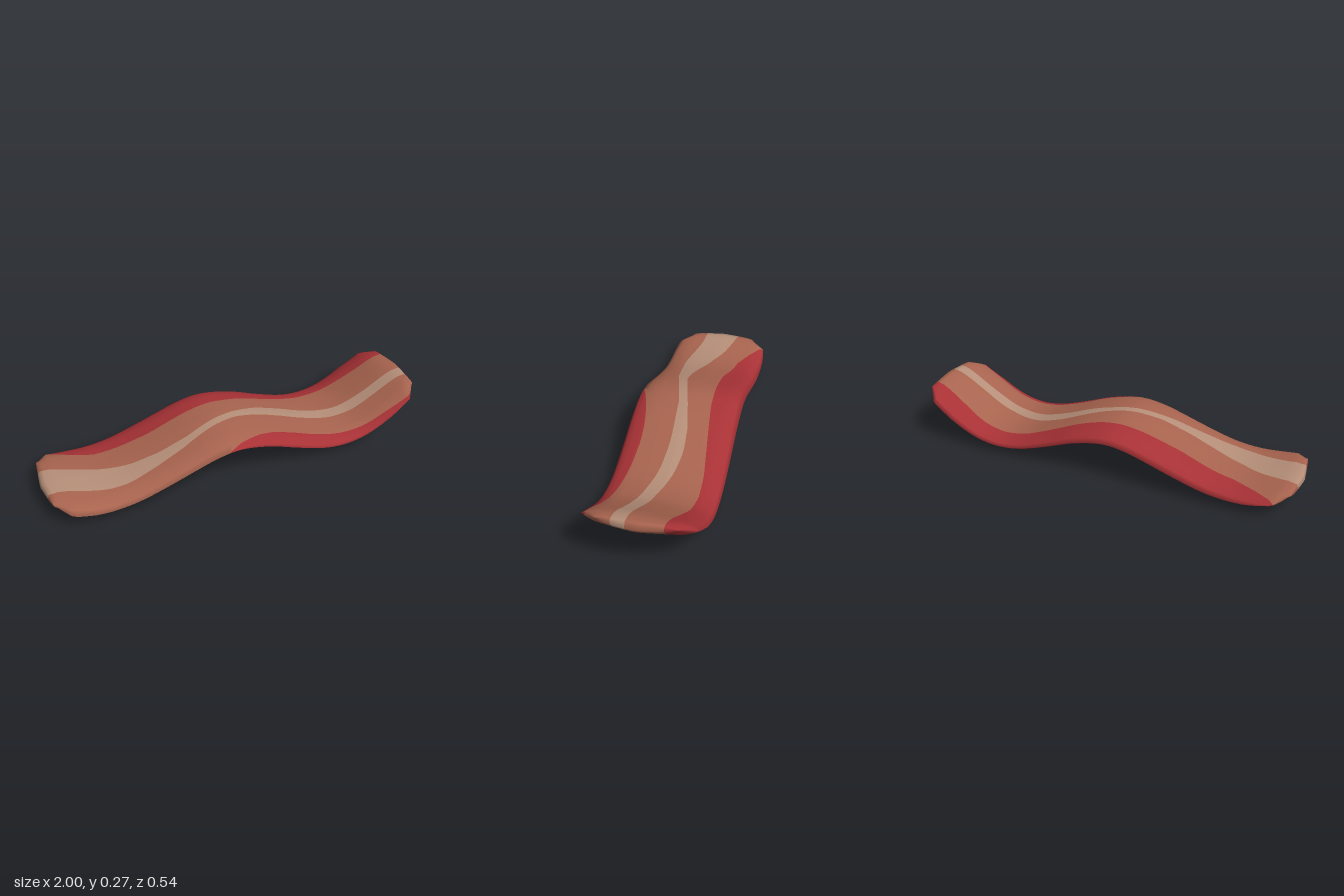
import * as THREE from 'three';
import { mergeVertices } from 'three/addons/utils/BufferGeometryUtils.js';

const colour = (name, hex) => {
  const m = new THREE.MeshStandardMaterial({ color: hex });
  m.name = name;
  return m;
};

// Linear interpolation in a list of [x, value] pairs
function lookup(table, x) {
  if (x <= table[0][0]) return table[0][1];
  for (let i = 1; i < table.length; i++) {
    const [x0, v0] = table[i - 1], [x1, v1] = table[i];
    if (x <= x1) return v0 + ((v1 - v0) * (x - x0)) / (x1 - x0);
  }
  return table[table.length - 1][1];
}

// Wavy centre line of the strip (x, y)
const centreLine = new THREE.SplineCurve([
  [-0.997, 0.1], [-0.9, 0.072], [-0.75, 0.052], [-0.6, 0.064], [-0.45, 0.105],
  [-0.3, 0.155], [-0.2, 0.186], [-0.1, 0.203], [0, 0.195], [0.12, 0.164],
  [0.25, 0.115], [0.4, 0.066], [0.52, 0.051], [0.63, 0.065], [0.72, 0.1],
  [0.81, 0.151], [0.9, 0.207], [0.993, 0.259],
].map(([x, y]) => new THREE.Vector2(x, y)));

// Half width and half thickness by distance from the middle
const halfWidth = [[0.8, 0.27], [0.92, 0.257], [0.955, 0.225], [0.993, 0.18]];
const halfThickness = [[0.75, 0.045], [0.9, 0.041], [0.96, 0.033], [0.993, 0.015]];
const section = [[0, 1], [0.4, 0.9], [0.72, 0.72], [0.9, 0.38], [1, 0]];

// Lengthwise borders between the colour bands (x, z), back to front
const borders = [
  [[-0.95, -0.27], [-0.9, -0.235], [-0.8, -0.18], [-0.7, -0.138], [-0.55, -0.12], [-0.4, -0.102],
    [-0.2, -0.11], [0, -0.12], [0.2, -0.145], [0.4, -0.17], [0.55, -0.175], [0.7, -0.165],
    [0.85, -0.14], [1, -0.125]],
  [[-1, -0.09], [-0.9, -0.07], [-0.8, -0.04], [-0.7, 0], [-0.55, 0.045], [-0.4, 0.068], [-0.25, 0.065],
    [-0.1, 0.028], [0, 0], [0.15, -0.035], [0.28, -0.045], [0.4, -0.03], [0.6, 0.015], [0.8, 0.035], [1, 0.04]],
  [[-1, 0.1], [-0.9, 0.105], [-0.8, 0.13], [-0.7, 0.153], [-0.6, 0.16], [-0.45, 0.145], [-0.3, 0.125],
    [-0.15, 0.085], [0, 0.047], [0.15, 0.035], [0.25, 0.032], [0.4, 0.045], [0.55, 0.075], [0.7, 0.095],
    [0.85, 0.1], [1, 0.105]],
  [[-0.13, 0.27], [-0.05, 0.238], [0.05, 0.205], [0.15, 0.186], [0.25, 0.18], [0.4, 0.19], [0.55, 0.208],
    [0.7, 0.225], [0.85, 0.238], [1, 0.245]],
];
const bandMaterial = [0, 1, 2, 1, 0];

export function createModel() {
  const materials = [
    colour('red meat', 0xa83236),
    colour('brown meat', 0xa8644f),
    colour('pale fat', 0xb68f79),
  ];
  const stations = 64, split = 6, columns = 5 * split + 1;
  const positions = [];

  // Cross-sections: one row of top points, then one row of bottom points
  for (let i = 0; i <= stations; i++) {
    const p = centreLine.getPoint(i / stations);
    const tangent = centreLine.getTangent(i / stations);
    const d = Math.abs(p.x);
    const w = lookup(halfWidth, d), t = lookup(halfThickness, d);
    const edges = [-w, ...borders.map((b) => THREE.MathUtils.clamp(lookup(b, p.x), -w, w)), w];
    const roundEnd = -Math.sign(p.x) * 0.02 * THREE.MathUtils.smoothstep(d, 0.88, 0.993);
    for (const side of [1, -1]) {
      for (let j = 0; j < columns; j++) {
        const band = Math.min(4, Math.floor(j / split));
        const z = THREE.MathUtils.lerp(edges[band], edges[band + 1], (j - band * split) / split);
        const h = side * t * lookup(section, Math.abs(z) / w);
        positions.push(p.x - tangent.y * h + (roundEnd * Math.abs(z)) / 0.18, p.y + tangent.x * h, z);
      }
    }
  }

  // Faces gathered by colour band
  const faces = materials.map(() => []);
  const top = (i, j) => i * 2 * columns + j;
  const bottom = (i, j) => top(i, j) + columns;
  const quad = (list, a, b, c, d) => list.push(a, b, c, b, d, c);
  for (let j = 0; j < columns - 1; j++) {
    const list = faces[bandMaterial[Math.floor(j / split)]];
    for (let i = 0; i < stations; i++) {
      quad(list, top(i, j), top(i, j + 1), top(i + 1, j), top(i + 1, j + 1));
      quad(list, bottom(i, j), bottom(i + 1, j), bottom(i, j + 1), bottom(i + 1, j + 1));
    }
    // Blunt ends
    const n = stations;
    quad(list, bottom(n, j), top(n, j), bottom(n, j + 1), top(n, j + 1));
    quad(list, bottom(0, j), bottom(0, j + 1), top(0, j), top(0, j + 1));
  }

  let geometry = new THREE.BufferGeometry();
  geometry.setAttribute('position', new THREE.Float32BufferAttribute(positions, 3));
  geometry.setIndex(faces.flat());
  let start = 0;
  faces.forEach((list, m) => {
    geometry.addGroup(start, list.length, m);
    start += list.length;
  });
  geometry = mergeVertices(geometry, 1e-5);
  geometry.computeVertexNormals();
  geometry.computeBoundingBox();
  const box = geometry.boundingBox;
  geometry.translate(-(box.min.x + box.max.x) / 2, -box.min.y, 0);

  const strip = new THREE.Mesh(geometry, materials);
  strip.name = 'baconStrip';
  const model = new THREE.Group();
  model.name = 'bacon';
  model.add(strip);
  return model;
}
